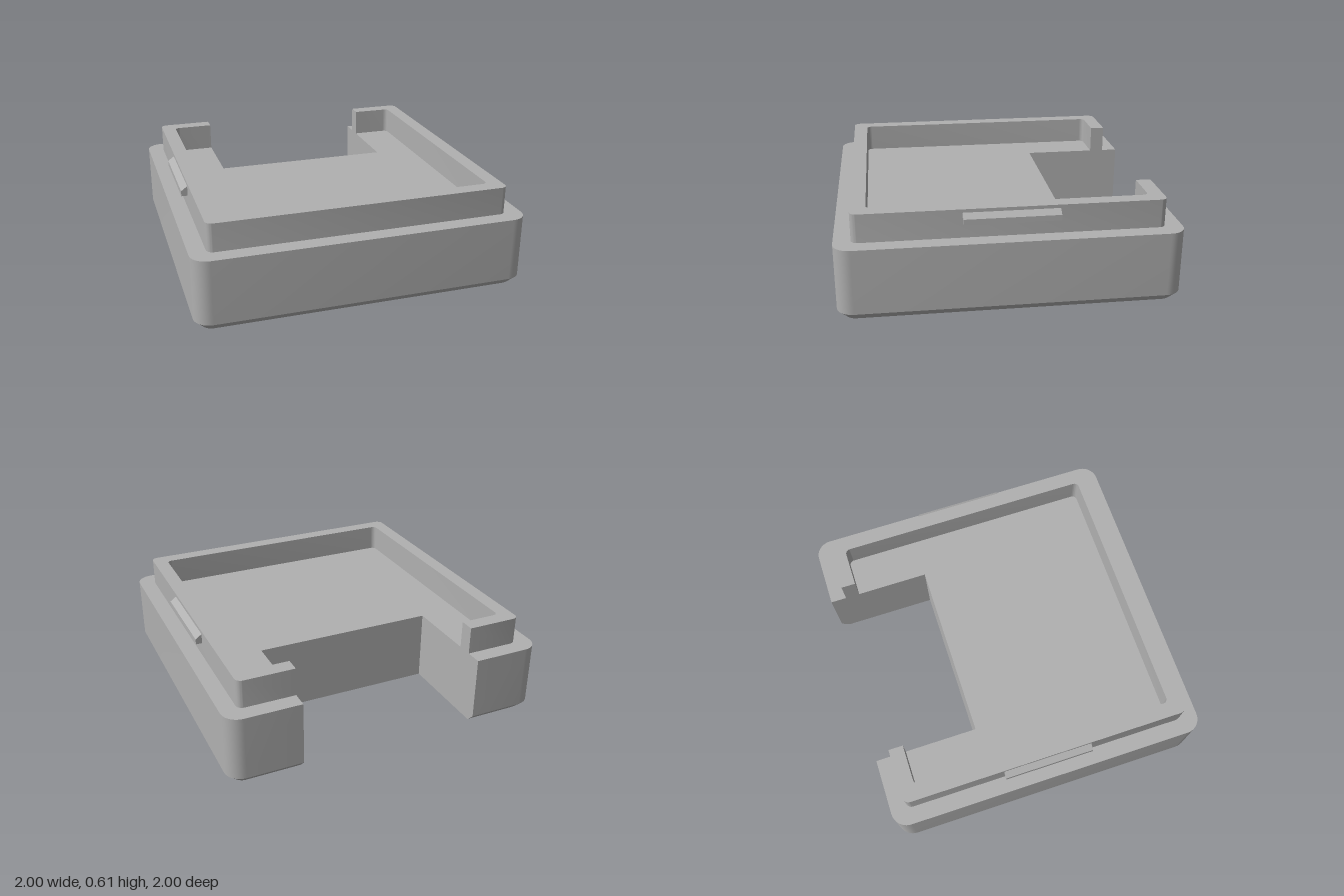
import * as THREE from 'three';
import { toCreasedNormals } from 'three/addons/utils/BufferGeometryUtils.js';

const NOTCH_X = 0.56, NOTCH_Z = -0.355;
const LEDGE_Y = 0.44, RIM_Y = 0.61, CHAMFER = 0.05;
const HOLE_R = 0.18, HOLE_DEPTH = 0.3;

// Rounded square seen from above (plan y = -z), open at the back between the notch sides
function openSquare(half, radius) {
  const points = [new THREE.Vector2(-NOTCH_X, half)];
  const corners = [[-1, 1, 0.5], [-1, -1, 1], [1, -1, 1.5], [1, 1, 2]];
  for (const [sx, sy, start] of corners) {
    for (let i = 0; i <= 10; i++) {
      const a = (start + i / 20) * Math.PI;
      points.push(new THREE.Vector2(
        sx * (half - radius) + radius * Math.cos(a),
        sy * (half - radius) + radius * Math.sin(a)));
    }
  }
  points.push(new THREE.Vector2(NOTCH_X, half));
  return points;
}

// Body outline: the open square closed by the rear notch
function bodyLoop(half, radius) {
  return [...openSquare(half, radius),
    new THREE.Vector2(NOTCH_X, -NOTCH_Z), new THREE.Vector2(-NOTCH_X, -NOTCH_Z)];
}

// Side walls through stacked loops of equal point count
function loftWalls(levels) {
  const positions = [];
  for (let l = 0; l < levels.length - 1; l++) {
    const low = levels[l], high = levels[l + 1], n = low.loop.length;
    for (let i = 0; i < n; i++) {
      const j = (i + 1) % n;
      const at = (level, k) => [level.loop[k].x, level.y, -level.loop[k].y];
      const a = at(low, i), b = at(low, j), c = at(high, j), d = at(high, i);
      positions.push(...a, ...b, ...c, ...a, ...c, ...d);
    }
  }
  const geometry = new THREE.BufferGeometry();
  geometry.setAttribute('position', new THREE.Float32BufferAttribute(positions, 3));
  return toCreasedNormals(geometry, 0.5);
}

export function createModel() {
  const model = new THREE.Group();
  model.name = 'notchedCase';
  const grey = new THREE.MeshStandardMaterial({ color: 0xb0b0b0 });
  grey.name = 'grey plastic';

  const add = (name, geometry) => {
    const mesh = new THREE.Mesh(geometry, grey);
    mesh.name = name;
    model.add(mesh);
    return mesh;
  };

  // Body with a chamfer along its lower outer edge
  const outer = bodyLoop(1, 0.1);
  const foot = bodyLoop(1 - CHAMFER, 0.06);
  add('bodyWalls', loftWalls([
    { loop: foot, y: 0 }, { loop: outer, y: CHAMFER }, { loop: outer, y: LEDGE_Y }]));

  // Floor and ledge on top
  const top = new THREE.ShapeGeometry(new THREE.Shape(outer));
  top.rotateX(-Math.PI / 2).translate(0, LEDGE_Y, 0);
  add('floor', top);

  // Underside with a round opening
  const underShape = new THREE.Shape(foot.map((p) => new THREE.Vector2(p.x, -p.y)));
  underShape.holes.push(new THREE.Path().absarc(0, 0, HOLE_R, 0, Math.PI * 2, true));
  add('underside', new THREE.ShapeGeometry(underShape, 48).rotateX(Math.PI / 2));

  // Blind socket in the underside
  const socket = new THREE.LatheGeometry([
    new THREE.Vector2(0, HOLE_DEPTH), new THREE.Vector2(HOLE_R, HOLE_DEPTH),
    new THREE.Vector2(HOLE_R, 0)], 48);
  add('socket', toCreasedNormals(socket, 0.5));

  // Raised rim, cut away at the notch
  const rimShape = new THREE.Shape([
    ...openSquare(0.9, 0.04), ...openSquare(0.81, 0.03).reverse()]);
  const rim = new THREE.ExtrudeGeometry(rimShape, { depth: RIM_Y - LEDGE_Y, bevelEnabled: false });
  rim.rotateX(-Math.PI / 2).translate(0, LEDGE_Y, 0);
  add('rim', toCreasedNormals(rim, 0.5));

  // Snap ridges on both sides of the rim
  const ridgeShape = new THREE.Shape([[0.895, 0.53], [0.938, 0.53], [0.938, 0.563], [0.9, 0.59], [0.895, 0.59]]
    .map(([x, y]) => new THREE.Vector2(x, y)));
  const ridge = new THREE.ExtrudeGeometry(ridgeShape, { depth: 0.555, bevelEnabled: false });
  ridge.translate(0, 0, -0.2775);
  add('leftSnapRidge', ridge);
  add('rightSnapRidge', ridge).rotation.y = Math.PI;

  return model;
}
